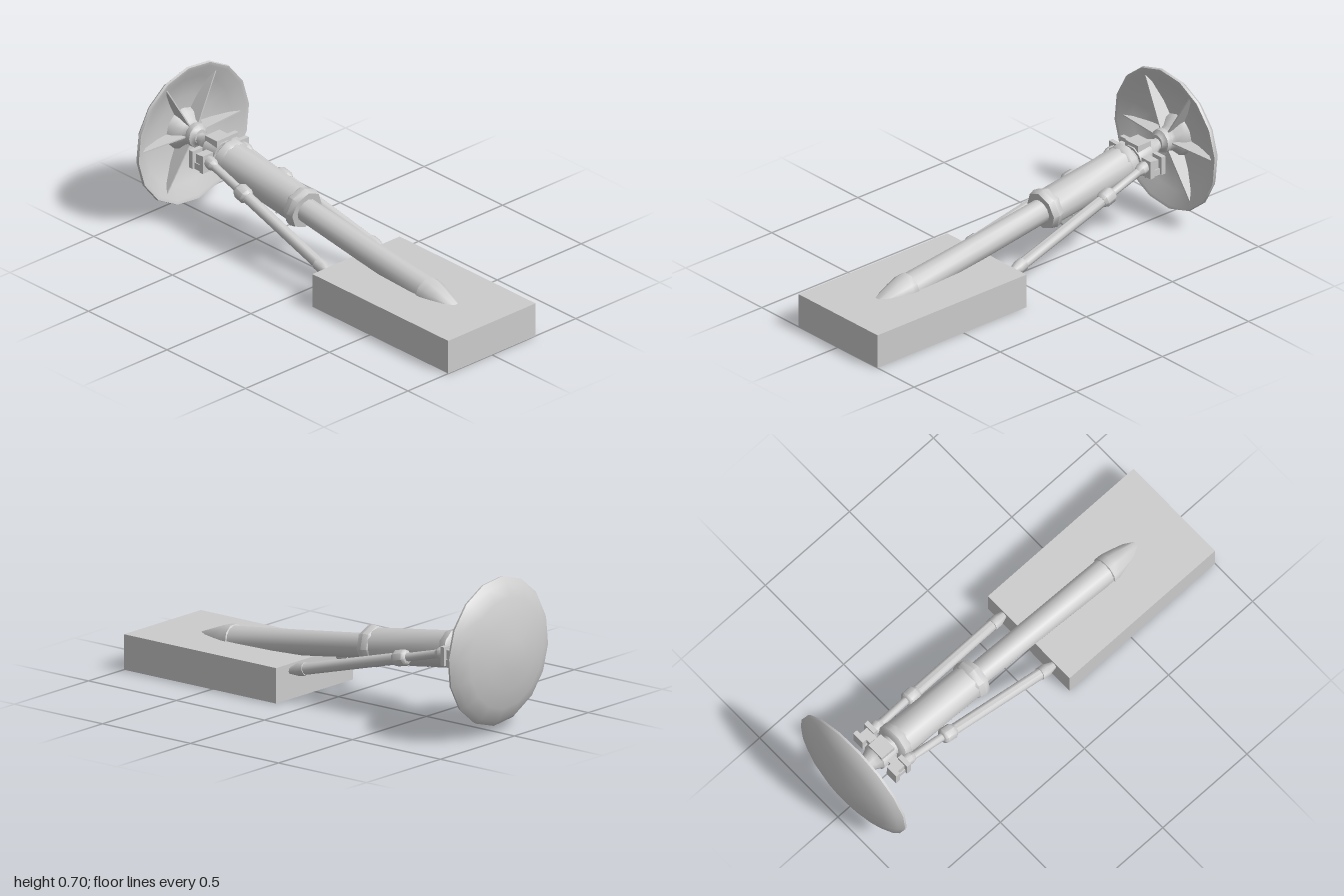
import * as THREE from 'three';
import { toCreasedNormals } from 'three/addons/utils/BufferGeometryUtils.js';

const grey = new THREE.MeshStandardMaterial({ color: 0xcccccc });
grey.name = 'light grey';

function mesh(name, geometry, parent) {
  const m = new THREE.Mesh(toCreasedNormals(geometry, 0.85), grey);
  m.name = name;
  parent.add(m);
  return m;
}

// Turned part: profile of [distance along the local y axis, radius]
function turned(name, profile, sides, parent) {
  const pts = profile.map(([s, r]) => new THREE.Vector2(r, s));
  return mesh(name, new THREE.LatheGeometry(pts, sides), parent);
}

function box(name, size, pos, parent) {
  const m = mesh(name, new THREE.BoxGeometry(...size), parent);
  m.position.set(...pos);
  return m;
}

// Group whose local y axis runs from one point towards another
function axisGroup(name, from, to, parent) {
  const g = new THREE.Group();
  g.name = name;
  const a = new THREE.Vector3(...from);
  const dir = new THREE.Vector3(...to).sub(a).normalize();
  g.position.copy(a);
  g.quaternion.setFromUnitVectors(new THREE.Vector3(0, 1, 0), dir);
  parent.add(g);
  return g;
}

export function createModel() {
  const model = new THREE.Group();
  model.name = 'landingLeg';

  // Block the leg is mounted in
  box('mountingBlock', [0.865, 0.16, 0.52], [0.5675, 0.08, 0], model);

  // Foot pad: shallow dish facing +x
  const foot = new THREE.Group();
  foot.name = 'footPad';
  foot.position.set(0, 0.367, 0);
  foot.rotation.z = -Math.PI / 2;
  model.add(foot);
  const dish = turned('dish', [
    [-1, 0], [-0.996, 0.07], [-0.982, 0.16], [-0.958, 0.25], [-0.932, 0.31],
    [-0.908, 0.333], [-0.897, 0.33], [-0.9, 0.314], [-0.935, 0.255],
    [-0.96, 0.16], [-0.97, 0.07], [-0.972, 0],
  ], 16, foot);
  dish.rotation.y = 0.09;

  // Flared hub and ball socket in the middle of the dish
  turned('hub', [
    [-0.972, 0.1], [-0.94, 0.088], [-0.915, 0.06], [-0.897, 0.052],
    [-0.89, 0.056], [-0.87, 0.054], [-0.864, 0.042], [-0.853, 0.034], [-0.85, 0],
  ], 12, foot);

  // Six tapered ribs
  const rib = new THREE.Shape();
  rib.moveTo(0.04, -0.97);
  rib.lineTo(0.16, -0.962);
  rib.lineTo(0.255, -0.937);
  rib.lineTo(0.295, -0.912);
  rib.lineTo(0.05, -0.893);
  rib.closePath();
  for (let i = 0; i < 6; i++) {
    const g = new THREE.ExtrudeGeometry(rib, { depth: 0.006, bevelEnabled: false });
    g.translate(0, 0, -0.003);
    mesh('rib', g, foot).rotation.y = Math.PI / 6 + i * Math.PI / 3;
  }

  // Main strut: ankle, thick sleeve, collars, inner tube and tapered end
  const leg = axisGroup('mainStrut', [-0.87, 0.361, 0], [0.6, 0.152, 0], model);
  turned('ankle', [
    [0, 0], [0, 0.028], [0.025, 0.028], [0.06, 0.045], [0.085, 0.056],
    [0.09, 0.064], [0.165, 0.064], [0.165, 0.05], [0.21, 0.05],
  ], 10, leg);
  turned('upperCollar', [
    [0.185, 0], [0.185, 0.078], [0.195, 0.09], [0.225, 0.09], [0.235, 0.083], [0.235, 0],
  ], 10, leg);
  turned('sleeve', [[0.23, 0.084], [0.65, 0.083]], 12, leg);
  turned('lowerCollar', [
    [0.635, 0.08], [0.645, 0.09], [0.672, 0.096], [0.7, 0.088], [0.7, 0],
  ], 8, leg);
  turned('innerTube', [[0.69, 0.055], [1.1, 0.058], [1.47, 0.063]], 12, leg);
  turned('endCollar', [
    [1.465, 0.058], [1.47, 0.07], [1.5, 0.07], [1.55, 0.06], [1.7, 0.022], [1.72, 0],
  ], 10, leg);

  // Small fasteners on top of the sleeve
  for (const s of [0.33, 0.45, 0.56]) {
    for (const side of [-1, 1]) {
      const bolt = mesh('bolt', new THREE.CylinderGeometry(0.005, 0.005, 0.006, 6), leg);
      bolt.position.set(0.073, s, side * 0.041);
      bolt.rotation.x = side * Math.PI / 6;
      bolt.rotation.z = -Math.PI / 2;
    }
  }

  // Crossbar through the ankle
  box('crossbar', [0.04, 0.045, 0.24], [-0.735, 0.34, 0], model);
  box('ankleBlock', [0.075, 0.13, 0.085], [-0.742, 0.35, 0], model);

  // Side struts with clevis brackets, mirrored left and right
  for (const side of [1, -1]) {
    const label = side > 0 ? 'left' : 'right';
    for (const x of [-0.77, -0.705]) {
      box(label + 'BracketPlate', [0.022, 0.085, 0.06], [x, 0.335, side * 0.107], model);
    }
    box(label + 'BracketBase', [0.08, 0.03, 0.05], [-0.74, 0.305, side * 0.1], model);

    const start = [-0.72, 0.349, side * 0.099];
    const strut = axisGroup(label + 'SideStrut', start, [0.1, 0.137, side * 0.157], model);
    turned('topFitting', [[0, 0], [0, 0.018], [0.03, 0.028], [0.055, 0.028], [0.075, 0.019]], 8, strut);
    turned('rod', [[0.07, 0.019], [0.25, 0.019]], 8, strut);
    turned('collar', [
      [0.235, 0], [0.24, 0.03], [0.25, 0.037], [0.295, 0.037], [0.31, 0.028], [0.31, 0],
    ], 8, strut);
    turned('tube', [[0.3, 0.026], [0.81, 0.026]], 10, strut);
    turned('endFitting', [[0.8, 0], [0.805, 0.03], [0.84, 0.03], [0.89, 0.015], [0.89, 0]], 8, strut);
  }

  return model;
}
